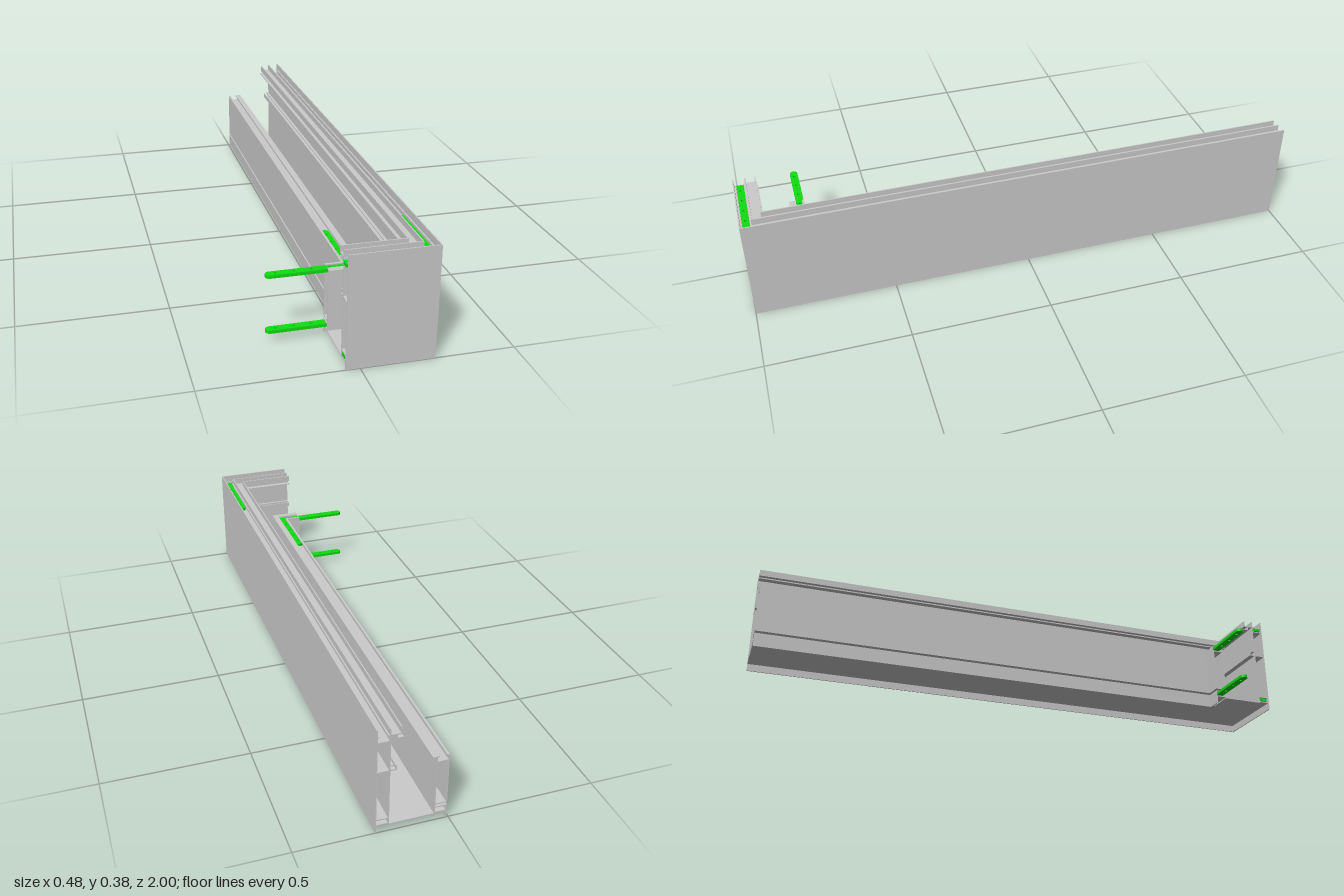
import * as THREE from 'three';

const OUT = 0.24, END = -0.047; // outer face in x, open end of the short leg
const grey = new THREE.MeshStandardMaterial({ color: 0xcccccc, flatShading: true });
const green = new THREE.MeshStandardMaterial({ color: 0x11dd11 });

// Sweeps a rectangle (d = distance inward from the outer face, y = height)
// along the long leg, round a mitred corner and along the short leg.
function sweep(d0, y0, d1, y1) {
  const section = [[d0, y0], [d1, y0], [d1, y1], [d0, y1]];
  const rings = [
    section.map(([d, y]) => [OUT - d, y, -1]),
    section.map(([d, y]) => [OUT - d, y, 1 - d]),
    section.map(([d, y]) => [END, y, 1 - d]),
  ];
  const pos = [];
  const quad = (a, b, c, d) => pos.push(...a, ...b, ...c, ...a, ...c, ...d);
  for (let s = 0; s < 2; s++) {
    for (let i = 0; i < 4; i++) {
      const j = (i + 1) % 4;
      quad(rings[s][i], rings[s + 1][i], rings[s + 1][j], rings[s][j]);
    }
  }
  quad(...rings[0]);
  quad(...[...rings[2]].reverse());
  const g = new THREE.BufferGeometry();
  g.setAttribute('position', new THREE.Float32BufferAttribute(pos, 3));
  g.computeVertexNormals();
  return g;
}

// Flat L-shaped bar with rounded ends and a row of screw holes in each leg
function bracket(name, cx, cz, xEnd, zEnd, y, w, rounded) {
  const r = w / 2, t = 0.011, s = new THREE.Shape();
  s.moveTo(cx + r, -cz - r);
  s.lineTo(cx + r, -zEnd - r);
  s.absarc(cx, -zEnd - r, r, 0, Math.PI, false);
  s.lineTo(cx - r, -cz + r);
  if (rounded) {
    s.lineTo(xEnd + r, -cz + r);
    s.absarc(xEnd + r, -cz, r, Math.PI / 2, Math.PI * 1.5, false);
  } else {
    s.lineTo(xEnd, -cz + r);
    s.lineTo(xEnd, -cz - r);
  }
  s.closePath();
  for (let i = 1; i <= 4; i++) {
    const k = i / 4.6;
    for (const [x, z] of [[cx, cz + (zEnd - cz) * k], [cx + (xEnd - cx) * k, cz]]) {
      const hole = new THREE.Path();
      hole.absarc(x, -z, r * 0.35, 0, Math.PI * 2, true);
      s.holes.push(hole);
    }
  }
  const g = new THREE.ExtrudeGeometry(s, { depth: t, bevelEnabled: false, curveSegments: 8 });
  g.rotateX(-Math.PI / 2).translate(0, y - t / 2, 0);
  const m = new THREE.Mesh(g, green);
  m.name = name;
  return m;
}

export function createModel() {
  const model = new THREE.Group();
  model.name = 'cornerProfile';

  // Each part is a list of section rectangles: [d0, y0, d1, y1]
  const parts = {
    outerPanel: [[0, 0, 0.004, 0.381]],
    outerInnerWall: [[0.041, 0.022, 0.045, 0.378]],
    topSlot: [[0.045, 0.352, 0.08, 0.356], [0.076, 0.356, 0.08, 0.376],
      [0.062, 0.338, 0.066, 0.352], [0.066, 0.338, 0.084, 0.342]],
    upperChannel: [[0.004, 0.332, 0.041, 0.336], [0.004, 0.352, 0.009, 0.356], [0.036, 0.352, 0.041, 0.356]],
    middleFlange: [[0.004, 0.225, 0.066, 0.229], [0.062, 0.229, 0.066, 0.242], [0.045, 0.242, 0.055, 0.246]],
    lowerOuterChannel: [[0.004, 0.026, 0.041, 0.03], [0.004, 0.046, 0.041, 0.05]],
    trayFloor: [[0.045, 0.022, 0.195, 0.026]],
    innerWall: [[0.191, 0.022, 0.195, 0.24]],
    innerPanel: [[0.23, 0.058, 0.234, 0.237]],
    innerTopChannel: [[0.195, 0.219, 0.23, 0.223], [0.195, 0.238, 0.202, 0.242],
      [0.226, 0.237, 0.234, 0.241], [0.18, 0.238, 0.195, 0.242]],
    innerLowerChannel: [[0.195, 0.026, 0.23, 0.03], [0.195, 0.046, 0.234, 0.05], [0.195, 0.058, 0.23, 0.062]],
    innerDrip: [[0.23, 0, 0.234, 0.046]],
  };
  for (const [name, rects] of Object.entries(parts)) {
    const group = new THREE.Group();
    group.name = name;
    for (const r of rects) group.add(new THREE.Mesh(sweep(...r), grey));
    model.add(group);
  }

  // Joining brackets held in the four channels
  model.add(
    bracket('innerUpperBracket', 0.022, 0.781, -0.24, 0.52, 0.23, 0.028, true),
    bracket('innerLowerBracket', 0.022, 0.781, -0.24, 0.52, 0.038, 0.028, true),
    bracket('outerUpperBracket', 0.217, 0.977, -0.05, 0.7, 0.343, 0.026, false),
    bracket('outerLowerBracket', 0.217, 0.977, -0.047, 0.7, 0.038, 0.026, false),
  );
  return model;
}
